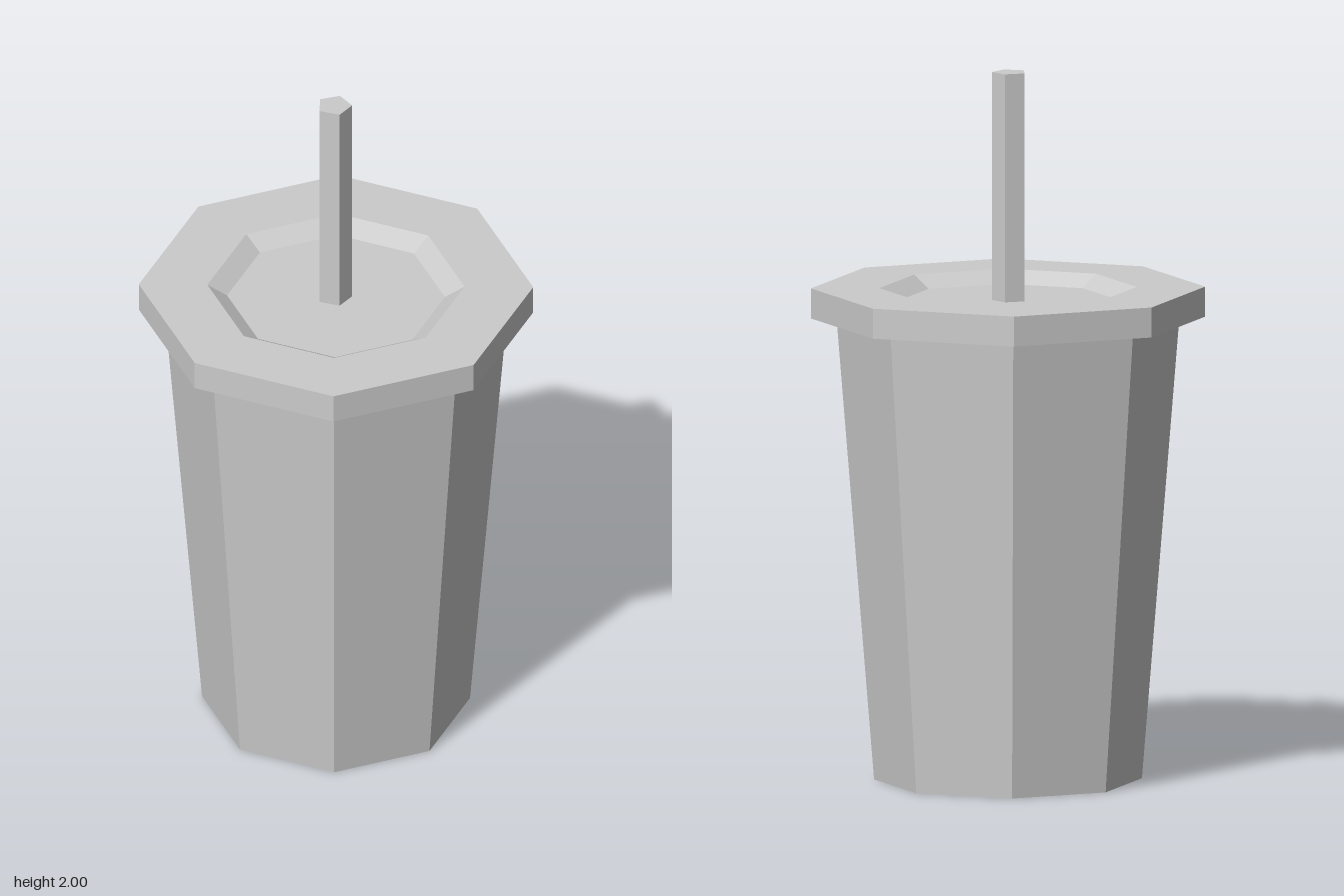
import * as THREE from 'three';

export function createModel() {
  const group = new THREE.Group();
  const material = new THREE.MeshStandardMaterial({ color: 0xcccccc, flatShading: true });

  const add = (name, geometry) => {
    const mesh = new THREE.Mesh(geometry, material);
    mesh.name = name;
    group.add(mesh);
    return mesh;
  };
  // Eight-sided solid from [radius, height] pairs, listed from the bottom centre up
  const octagonal = (profile) =>
    new THREE.LatheGeometry(profile.map(([r, y]) => new THREE.Vector2(r, y)), 8);

  // Tapered cup with a closed base
  add('cup', octagonal([[0, 0], [0.375, 0], [0.48, 1.305]]));

  // Overhanging lid with a shallow bevelled recess on top
  add('lid', octagonal([
    [0.48, 1.305], [0.552, 1.305], [0.552, 1.39],
    [0.36, 1.39], [0.305, 1.355], [0, 1.355],
  ]));

  // Five-sided straw standing on the floor of the recess
  const strawBase = 1.355, strawTop = 2;
  const straw = add('straw', new THREE.CylinderGeometry(0.05, 0.05, strawTop - strawBase, 5));
  straw.position.set(-0.005, (strawBase + strawTop) / 2, 0);
  straw.rotation.y = Math.PI / 2;

  return group;
}
